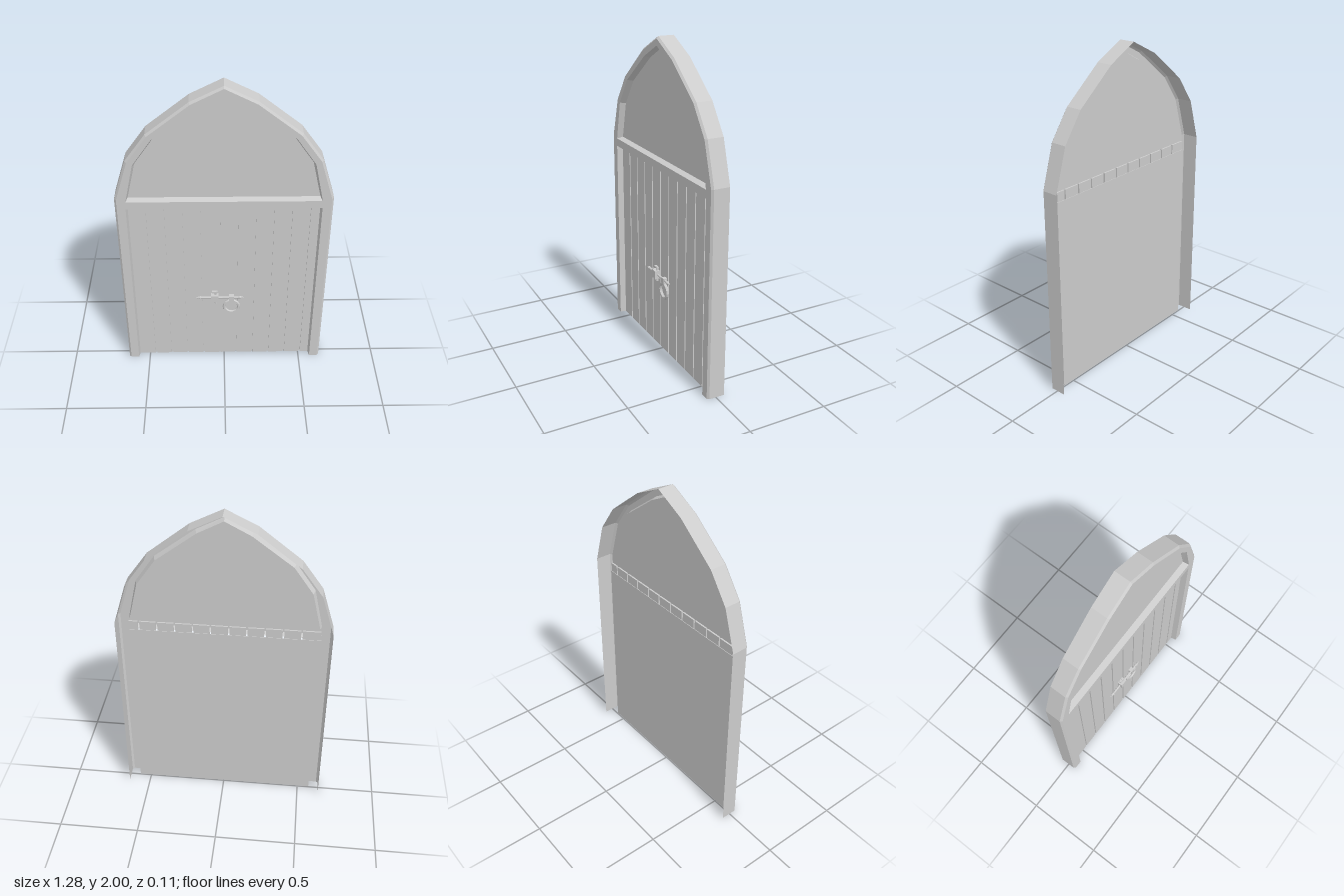
import * as THREE from 'three';

const material = new THREE.MeshStandardMaterial({ color: 0xcccccc, flatShading: true, side: THREE.DoubleSide });

// Mirrors a right-hand half outline (apex first) into a full left-to-right one
const mirror = (half) => [
  ...half.slice(1).reverse().map(([x, y]) => [-x, y]),
  ...half,
];
const toShape = (pts) => new THREE.Shape(pts.map(([x, y]) => new THREE.Vector2(x, y)));

// Sheet joining two outlines with the same number of points
function strip(a, za, b, zb) {
  const pos = [];
  for (let i = 0; i < a.length - 1; i++) {
    const a0 = [...a[i], za], a1 = [...a[i + 1], za];
    const b0 = [...b[i], zb], b1 = [...b[i + 1], zb];
    pos.push(...a0, ...b0, ...b1, ...a0, ...b1, ...a1);
  }
  const g = new THREE.BufferGeometry();
  g.setAttribute('position', new THREE.Float32BufferAttribute(pos, 3));
  g.computeVertexNormals();
  return g;
}

export function createModel() {
  const model = new THREE.Group();
  const add = (parent, name, geometry, x = 0, y = 0, z = 0) => {
    const m = new THREE.Mesh(geometry, material);
    m.name = name;
    m.position.set(x, y, z);
    parent.add(m);
    return m;
  };
  const box = (w, h, d) => new THREE.BoxGeometry(w, h, d);

  const back = -0.055, front = 0.055, panelZ = 0.018;
  const outer = mirror([[0, 2], [0.19, 1.905], [0.437, 1.71], [0.56, 1.54], [0.638, 1.285], [0.638, 0]]);
  const face = mirror([[0, 1.987], [0.184, 1.894], [0.428, 1.702], [0.549, 1.535], [0.626, 1.283], [0.626, 0]]);
  const arch = mirror([[0, 1.947], [0.16, 1.865], [0.402, 1.683], [0.518, 1.517], [0.573, 1.268]]);
  const archInner = mirror([[0, 1.937], [0.154, 1.855], [0.392, 1.675], [0.507, 1.511], [0.562, 1.278]]);
  const doorway = [[-0.575, 0], [-0.575, 1.218], [0.575, 1.218], [0.575, 0]];
  const doorwayInner = [[-0.567, 0], [-0.567, 1.21], [0.567, 1.21], [0.567, 0]];
  const close = (pts) => [...pts, pts[0]];

  // Hollow frame: outer wall, bevel, front face and inner returns
  const frame = new THREE.Group();
  frame.name = 'frame';
  model.add(frame);
  add(frame, 'frameOuterWall', strip(outer, back, outer, front - 0.012));
  add(frame, 'frameBevel', strip(outer, front - 0.012, face, front));
  const faceShape = toShape([...face, ...doorway.slice().reverse()]);
  faceShape.holes.push(toShape(arch));
  add(frame, 'frameFace', new THREE.ShapeGeometry(faceShape), 0, 0, front);
  add(frame, 'archReturn', strip(close(arch), front, close(archInner), panelZ));
  add(frame, 'doorwayReturn', strip(doorway, front, doorwayInner, panelZ));

  // Flat panel filling the arch
  add(model, 'archPanel', new THREE.ShapeGeometry(toShape(archInner)), 0, 0, panelZ);

  // Door boards with narrow grooves between them
  const door = new THREE.Group();
  door.name = 'door';
  model.add(door);
  const seams = [-0.575, -0.459, -0.351, -0.243, -0.136, -0.028, 0.08, 0.187, 0.295, 0.402, 0.51, 0.575];
  const gap = 0.01;
  for (let i = 0; i < seams.length - 1; i++) {
    const w = seams[i + 1] - seams[i] - gap;
    add(door, 'plank', box(w, 1.262, 0.01), (seams[i] + seams[i + 1]) / 2, 0.631, 0.013);
  }
  add(door, 'doorBacking', box(1.15, 1.205, 0.004), 0, 0.6025, 0.007);

  // Latch bar with pointed ends, running through a keeper
  const latch = new THREE.Group();
  latch.name = 'latch';
  model.add(latch);
  const barProfile = [[0, -0.157], [0.011, -0.125], [0.007, -0.12], [0.007, 0.12], [0.011, 0.125], [0, 0.157]]
    .map(([r, y]) => new THREE.Vector2(r, y));
  add(latch, 'latchBar', new THREE.LatheGeometry(barProfile, 8), -0.028, 0.51, 0.034).rotation.z = Math.PI / 2;
  add(latch, 'latchKeeper', box(0.048, 0.054, 0.034), -0.06, 0.508, 0.035);
  add(latch, 'latchPin', new THREE.CylinderGeometry(0.008, 0.008, 0.1, 8), -0.053, 0.51, 0.03);
  add(latch, 'latchPinHead', box(0.036, 0.01, 0.016), -0.06, 0.553, 0.03);

  // Ring pull hanging from the bar
  const pull = new THREE.Group();
  pull.name = 'ringPull';
  model.add(pull);
  add(pull, 'pullMount', box(0.03, 0.036, 0.026), 0.047, 0.504, 0.03);
  add(pull, 'pullRing', new THREE.TorusGeometry(0.047, 0.01, 6, 16), 0.047, 0.435, 0.033);

  return model;
}
